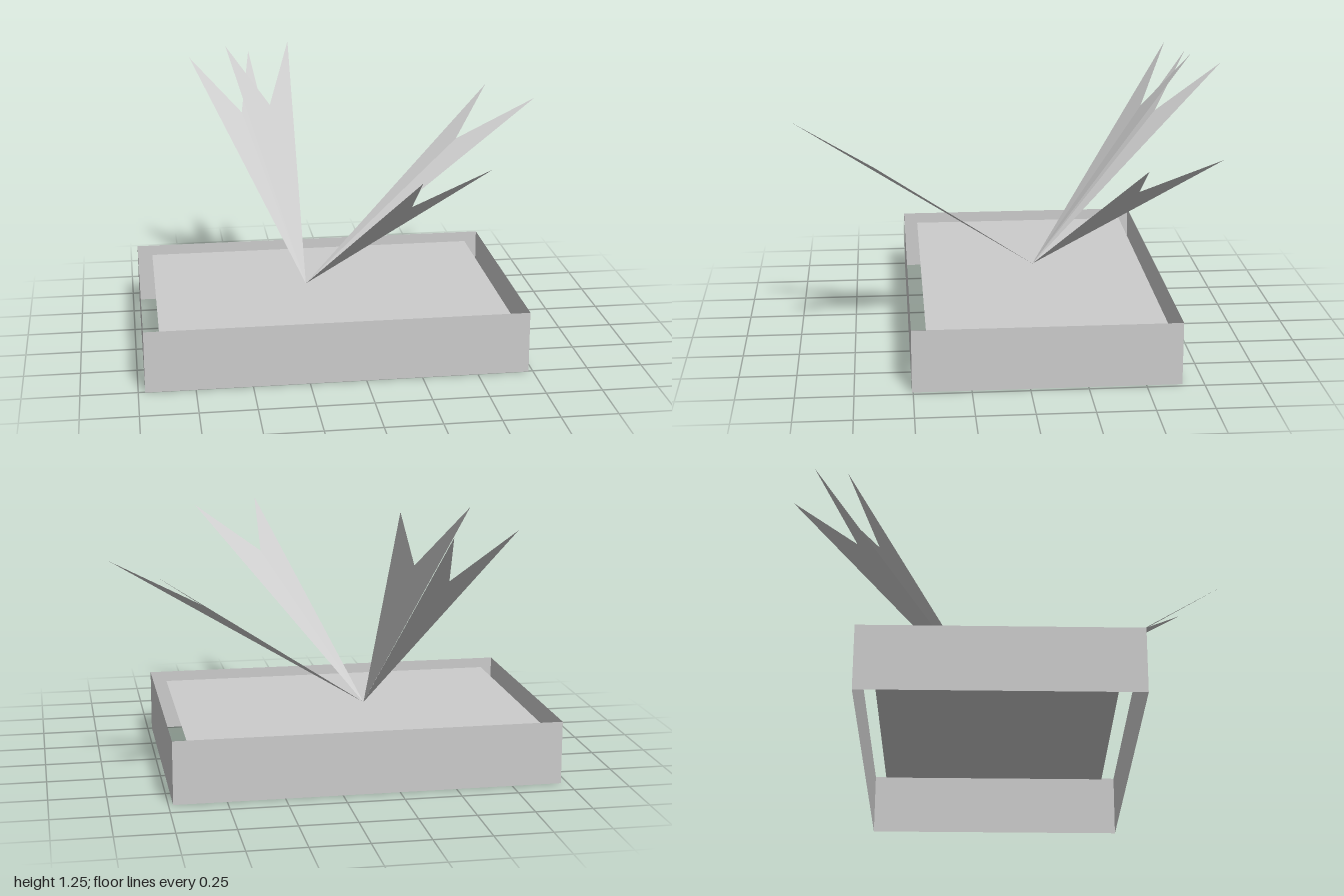
import * as THREE from 'three';

const material = new THREE.MeshStandardMaterial({
  color: 0xcccccc, side: THREE.DoubleSide, flatShading: true,
});

function addMesh(parent, name, geometry) {
  const mesh = new THREE.Mesh(geometry, material);
  mesh.name = name;
  parent.add(mesh);
  return mesh;
}

// Swallow-tailed blade: two triangles that share the line from root to notch
function bladeGeometry(root, tipA, notch, tipB) {
  const geometry = new THREE.BufferGeometry();
  geometry.setAttribute('position', new THREE.Float32BufferAttribute(
    [root, tipA, notch, root, notch, tipB].flat(), 3));
  geometry.computeVertexNormals();
  return geometry;
}

export function createModel() {
  const model = new THREE.Group();
  model.name = 'planter';

  // Tray: four thin walls, open below
  const tray = new THREE.Group();
  tray.name = 'tray';
  tray.position.set(-0.12, 0, -0.075);
  model.add(tray);
  const width = 1.7, depth = 1.16, height = 0.28;
  const walls = [
    ['frontWall', width, depth / 2, 0],
    ['leftWall', depth, width / 2, Math.PI / 2],
    ['backWall', width, depth / 2, Math.PI],
    ['rightWall', depth, width / 2, -Math.PI / 2],
  ];
  for (const [name, length, offset, angle] of walls) {
    const geometry = new THREE.PlaneGeometry(length, height);
    geometry.translate(0, height / 2, offset);
    addMesh(tray, name, geometry).rotation.y = angle;
  }

  // Soil sheet, a little smaller than the tray and just below its rim
  const soil = addMesh(tray, 'soil', new THREE.PlaneGeometry(1.56, 1.04));
  soil.rotation.x = -Math.PI / 2;
  soil.position.set(0, 0.25, -0.005);

  // Blades fanning out from one root: first tip, notch, second tip
  const root = [-0.2, 0.25, -0.09];
  const blades = [
    ['frontLeaf', [0.15, 1.045, 1.0], [0.17, 0.835, 0.64], [0.47, 1.04, 0.825]],
    ['leftLeaf', [0.96, 1.015, -0.455], [0.58, 0.82, -0.475], [0.79, 1.01, -0.79]],
    ['backLeaf', [-0.2, 1.25, -0.82], [-0.31, 0.985, -0.61], [-0.51, 1.25, -0.75]],
    ['backRightLeaf', [-0.38, 1.17, -1.0], [-0.44, 0.93, -0.7], [-0.68, 1.17, -0.88]],
  ];
  for (const [name, ...points] of blades) {
    addMesh(model, name, bladeGeometry(root, ...points));
  }
  return model;
}
